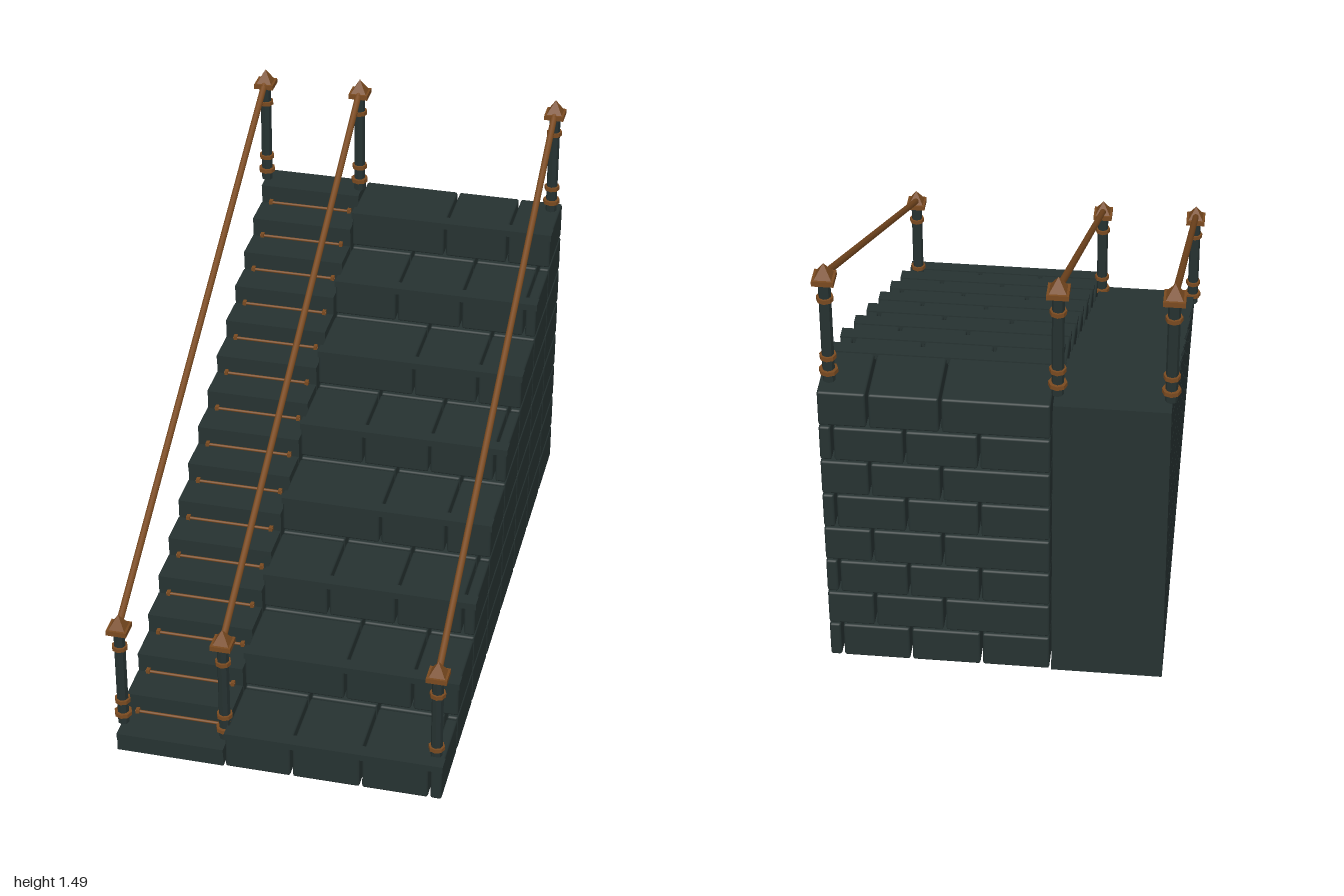
import * as THREE from 'three';
import { RoundedBoxGeometry } from 'three/addons/geometries/RoundedBoxGeometry.js';

const stone = new THREE.MeshStandardMaterial({ name: 'dark stone', color: 0x263231 });
const bronze = new THREE.MeshStandardMaterial({ name: 'bronze', color: 0x7a4a20 });
const flatStone = stone.clone();
flatStone.flatShading = true;
const flatBronze = bronze.clone();
flatBronze.flatShading = true;

function add(parent, name, geometry, material, x = 0, y = 0, z = 0) {
  const mesh = new THREE.Mesh(geometry, material);
  mesh.name = name;
  mesh.position.set(x, y, z);
  parent.add(mesh);
  return mesh;
}

// Box given by its limits, with optional softened edges
function block(parent, name, [x0, x1], [y0, y1], [z0, z1], bevel = 0) {
  const size = [x1 - x0, y1 - y0, z1 - z0];
  const geometry = bevel ? new RoundedBoxGeometry(...size, 1, bevel) : new THREE.BoxGeometry(...size);
  return add(parent, name, geometry, stone, (x0 + x1) / 2, (y0 + y1) / 2, (z0 + z1) / 2);
}

// Large seats: staggered bricks with open joints and a thin front nosing
function bigSteps() {
  const group = new THREE.Group();
  group.name = 'largeSteps';
  const rise = 1.0667 / 8, run = 0.25, gap = 0.004;
  const joints = [[-0.165, 0.055, 0.28, 0.5, 0.54], [-0.165, 0.17, 0.39, 0.54]];
  for (let c = 0; c < 8; c++) {
    const front = 1 - c * run;
    for (let r = 0; r <= c; r++) {
      const xs = joints[r % 2];
      for (let i = 0; i < xs.length - 1; i++) {
        block(group, 'brick', [xs[i] + gap, xs[i + 1] - (i < xs.length - 2 ? gap : 0)],
          [r * rise + (r ? gap : 0), (r + 1) * rise - gap],
          [front - run + gap, front - gap], 0.007);
      }
    }
    const top = (c + 1) * rise;
    block(group, 'largeNosing', [-0.163, 0.543], [top - 0.022, top + 0.001], [front - 0.045, front]);
  }
  return group;
}

// Narrow stair: full-height slabs with nosings and rods at the riser feet
function smallSteps() {
  const group = new THREE.Group();
  group.name = 'smallSteps';
  const rise = 1.0667 / 16, run = 0.125;
  const rod = new THREE.CylinderGeometry(0.005, 0.005, 0.3, 8);
  const bracket = new THREE.BoxGeometry(0.012, 0.016, 0.016);
  for (let i = 0; i < 16; i++) {
    const top = (i + 1) * rise, front = 1 - i * run;
    block(group, 'stairSlab', [-0.52, -0.168], [0, top], [front - run + 0.002, front - 0.004]);
    block(group, 'stairNosing', [-0.52, -0.168], [top - 0.016, top], [front - 0.02, front]);
    if (i === 15) continue;
    const z = front - run + 0.004;
    add(group, 'stairRod', rod, bronze, -0.343, top + 0.005, z).rotation.z = Math.PI / 2;
    for (const x of [-0.485, -0.2]) add(group, 'rodBracket', bracket, bronze, x, top + 0.006, z);
  }
  return group;
}

// Post with collars, square cap and pyramid finial
const shaftGeometry = new THREE.CylinderGeometry(0.019, 0.019, 0.37, 8);
const collarGeometry = new THREE.CylinderGeometry(0.026, 0.026, 0.014, 8);
const baseCollarGeometry = new THREE.CylinderGeometry(0.029, 0.029, 0.014, 8);
const capGeometry = new THREE.BoxGeometry(0.066, 0.017, 0.066);
const finialGeometry = new THREE.ConeGeometry(0.037, 0.046, 4);
finialGeometry.rotateY(Math.PI / 4);

function post(x, y, z) {
  const group = new THREE.Group();
  group.name = 'railPost';
  add(group, 'shaft', shaftGeometry, flatStone, 0, 0.185, 0);
  add(group, 'baseCollar', baseCollarGeometry, flatBronze, 0, 0.037, 0);
  for (const h of [0.09, 0.301]) add(group, 'collar', collarGeometry, flatBronze, 0, h, 0);
  add(group, 'cap', capGeometry, bronze, 0, 0.372, 0);
  add(group, 'finial', finialGeometry, flatBronze, 0, 0.403, 0);
  group.position.set(x, y, z);
  return group;
}

export function createModel() {
  const model = new THREE.Group();
  model.name = 'steppedTerrace';
  model.add(bigSteps(), smallSteps());

  // Three sloping handrails, each between a front and a back post
  const railLength = Math.hypot(1.87, 1);
  const rail = new THREE.CylinderGeometry(0.011, 0.011, railLength, 10);
  for (const x of [-0.515, -0.177, 0.51]) {
    model.add(post(x, 0.07, 0.935), post(x, 1.067, -0.935));
    add(model, 'handrail', rail, bronze, x, 0.953, 0).rotation.x = -Math.atan2(1.87, 1);
  }
  return model;
}
